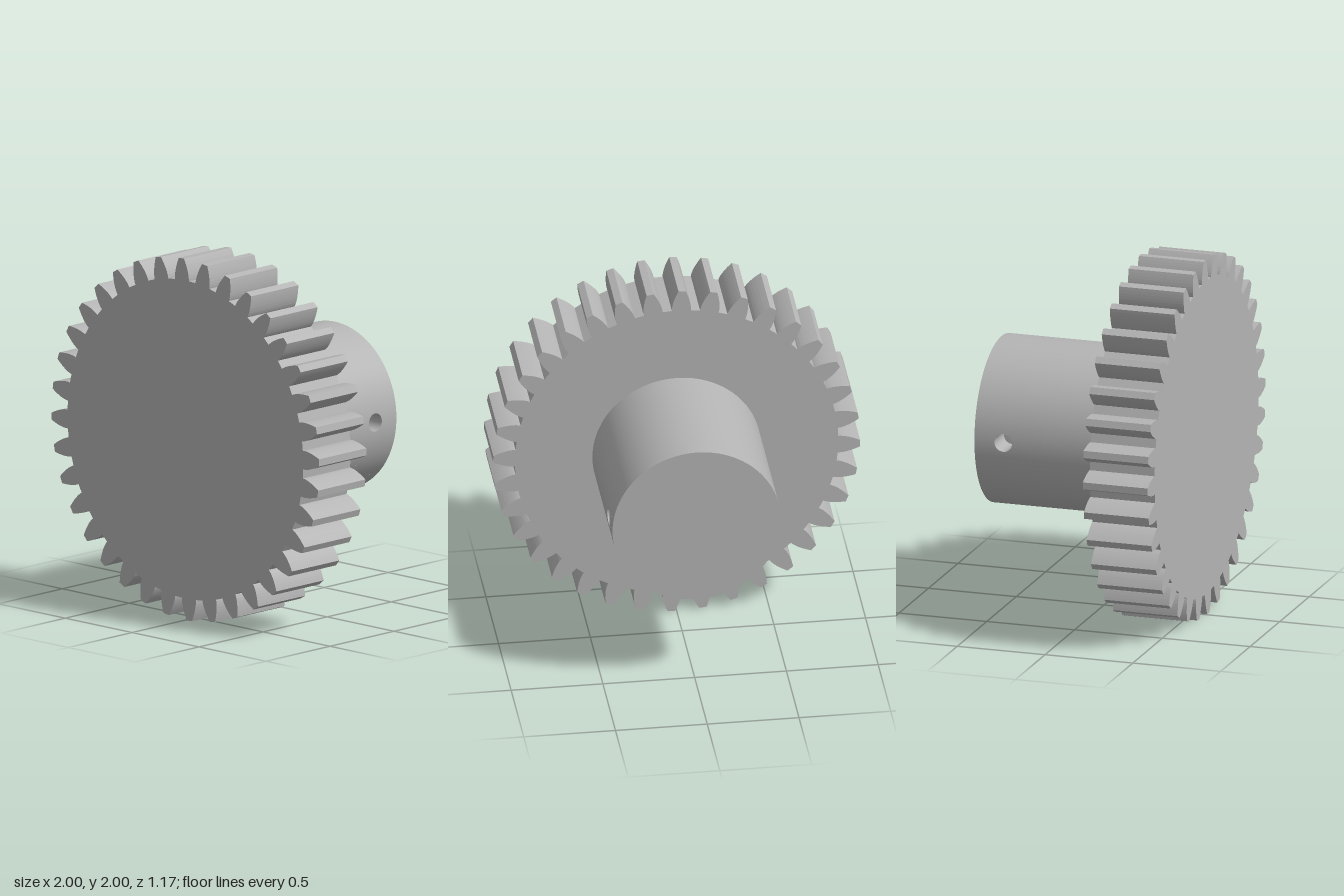
import * as THREE from 'three';

const TEETH = 36, TIP = 1, ROOT = 0.881, PITCH = 0.947;
const GEAR_BACK = 0.215, GEAR_FRONT = 0.584;
const HUB_R = 0.459, HUB_BACK = -0.584;
const HOLE_R = 0.05, HOLE_Z = -0.42, HOLE_FLOOR = 0.3, PATCH = 0.09;

// Spur gear outline with involute flanks
function gearShape() {
  const pressure = THREE.MathUtils.degToRad(20);
  const base = PITCH * Math.cos(pressure);
  const inv = (a) => Math.tan(a) - a;
  const halfAtBase = Math.PI / (2 * TEETH) + inv(pressure);
  const flank = [[ROOT, halfAtBase]];
  for (let i = 0; i <= 7; i++) {
    const r = base + (TIP - base) * (i / 7);
    flank.push([r, halfAtBase - inv(Math.acos(Math.min(1, base / r)))]);
  }
  const points = [];
  const add = (r, a) => points.push(new THREE.Vector2(r * Math.cos(a), r * Math.sin(a)));
  for (let t = 0; t < TEETH; t++) {
    const mid = THREE.MathUtils.degToRad(1.7) + (t / TEETH) * Math.PI * 2;
    flank.forEach(([r, h]) => add(r, mid - h));
    [...flank].reverse().forEach(([r, h]) => add(r, mid + h));
  }
  return new THREE.Shape(points);
}

// Curved square of hub wall with a round opening, facing +x
function holePatch() {
  const around = 48, rings = 4, pos = [], nor = [], idx = [];
  for (let j = 0; j <= rings; j++) {
    for (let i = 0; i <= around; i++) {
      const t = (i / around) * Math.PI * 2, c = Math.cos(t), s = Math.sin(t);
      const edge = PATCH / Math.max(Math.abs(c), Math.abs(s));
      const r = THREE.MathUtils.lerp(HOLE_R, edge, j / rings);
      const y = r * c, x = Math.sqrt(HUB_R * HUB_R - y * y);
      pos.push(x, y, HOLE_Z + r * s);
      nor.push(x / HUB_R, y / HUB_R, 0);
      if (j < rings && i < around) {
        const a = j * (around + 1) + i, b = a + around + 1;
        idx.push(a, b, a + 1, b, b + 1, a + 1);
      }
    }
  }
  const g = new THREE.BufferGeometry();
  g.setAttribute('position', new THREE.Float32BufferAttribute(pos, 3));
  g.setAttribute('normal', new THREE.Float32BufferAttribute(nor, 3));
  g.setIndex(idx);
  return g;
}

// Wall of the blind hole, its mouth following the hub surface
function holeWall() {
  const g = new THREE.CylinderGeometry(HOLE_R, HOLE_R, 1, 48, 1, true);
  g.rotateZ(-Math.PI / 2);
  const p = g.attributes.position;
  for (let i = 0; i < p.count; i++) {
    const y = p.getY(i);
    p.setX(i, p.getX(i) > 0 ? Math.sqrt(HUB_R * HUB_R - y * y) : HOLE_FLOOR);
  }
  return g.translate(0, 0, HOLE_Z);
}

export function createModel() {
  const steel = new THREE.MeshStandardMaterial({ color: 0xb4b4b4 });
  const steelInner = new THREE.MeshStandardMaterial({ color: 0xb4b4b4, side: THREE.DoubleSide });
  steel.name = 'steel grey';
  steelInner.name = 'steel grey inside';

  const model = new THREE.Group();
  model.name = 'spurGear';
  const add = (parent, name, geometry, material = steel) => {
    const mesh = new THREE.Mesh(geometry, material);
    mesh.name = name;
    parent.add(mesh);
    return mesh;
  };

  // Toothed wheel
  const wheel = new THREE.ExtrudeGeometry(gearShape(), {
    depth: GEAR_FRONT - GEAR_BACK, bevelEnabled: false,
  });
  add(model, 'toothedWheel', wheel.translate(0, 0, GEAR_BACK));

  // Hub wall: full bands either side of the holes, two arcs between them
  const hub = new THREE.Group();
  hub.name = 'hub';
  model.add(hub);
  const band = (name, z0, z1, start = 0, length = Math.PI * 2) => {
    const segments = Math.round((96 * length) / (Math.PI * 2));
    const g = new THREE.CylinderGeometry(HUB_R, HUB_R, z1 - z0, segments, 1, true, start, length);
    add(hub, name, g.rotateX(Math.PI / 2).translate(0, 0, (z0 + z1) / 2));
  };
  const gap = Math.asin(PATCH / HUB_R);
  band('hubFrontBand', HOLE_Z + PATCH, GEAR_BACK + 0.01);
  band('hubBackBand', HUB_BACK, HOLE_Z - PATCH);
  band('hubTopArc', HOLE_Z - PATCH, HOLE_Z + PATCH, Math.PI / 2 + gap, Math.PI - 2 * gap);
  band('hubBottomArc', HOLE_Z - PATCH, HOLE_Z + PATCH, -Math.PI / 2 + gap, Math.PI - 2 * gap);
  add(hub, 'hubEnd', new THREE.CircleGeometry(HUB_R, 96).rotateY(Math.PI).translate(0, 0, HUB_BACK));

  // Set screw holes on both sides
  for (const side of [0, 1]) {
    const hole = new THREE.Group();
    hole.name = side ? 'rightScrewHole' : 'leftScrewHole';
    add(hole, 'holeSurround', holePatch());
    add(hole, 'holeWall', holeWall(), steelInner);
    const floor = new THREE.CircleGeometry(HOLE_R, 48).rotateY(Math.PI / 2);
    add(hole, 'holeFloor', floor.translate(HOLE_FLOOR, 0, HOLE_Z));
    // Half turn about z puts the second hole on the opposite side
    hole.rotation.z = side * Math.PI;
    hub.add(hole);
  }

  model.position.y = 1;
  return model;
}
